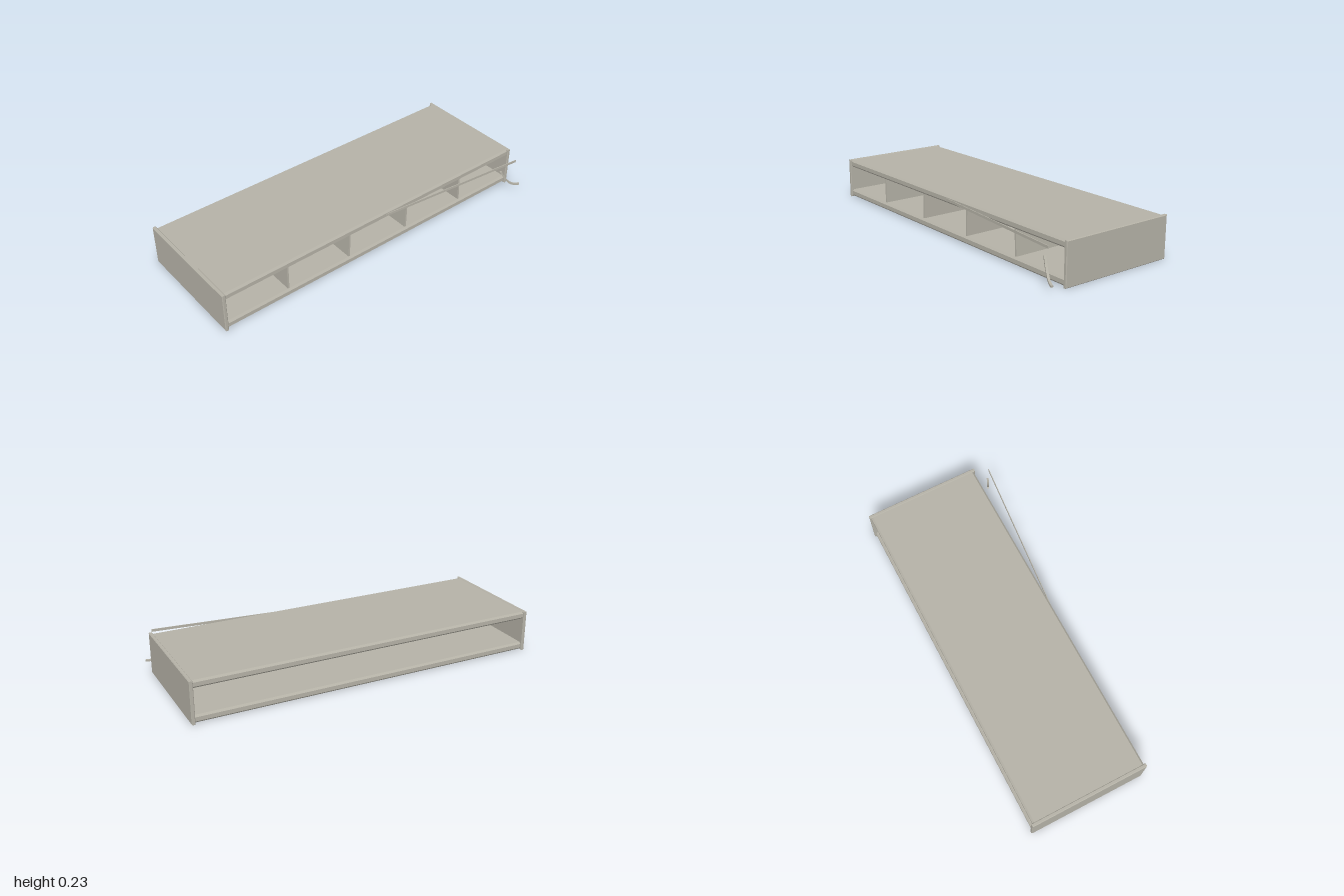
import * as THREE from 'three';

// Bar with chamfered long edges: profile in (a, b), extruded along the third axis
function chamferedBar(w, h, length, c) {
  const x = w / 2, y = h / 2;
  const shape = new THREE.Shape([
    [-x + c, -y], [x - c, -y], [x, -y + c], [x, y - c],
    [x - c, y], [-x + c, y], [-x, y - c], [-x, -y + c],
  ].map(([a, b]) => new THREE.Vector2(a, b)));
  const geo = new THREE.ExtrudeGeometry(shape, { depth: length, bevelEnabled: false });
  return geo.translate(0, 0, -length / 2);
}

// Panel with all rim edges chamfered, facing along x
function sidePanel(thick, h, d, c) {
  const x = d / 2 - c, y = h / 2 - c;
  const shape = new THREE.Shape([[-x, -y], [x, -y], [x, y], [-x, y]].map(([a, b]) => new THREE.Vector2(a, b)));
  const geo = new THREE.ExtrudeGeometry(shape, {
    depth: thick - 2 * c, bevelEnabled: true, bevelThickness: c, bevelSize: c, bevelSegments: 1,
  });
  return geo.translate(0, 0, -(thick - 2 * c) / 2).rotateY(Math.PI / 2);
}

export function createModel() {
  const model = new THREE.Group();
  model.name = 'shelfUnit';
  const greyWood = new THREE.MeshStandardMaterial({ color: 0xb4b1a6 });
  greyWood.name = 'greyWood';

  const add = (name, geo, x, y, z) => {
    const mesh = new THREE.Mesh(geo, greyWood);
    mesh.name = name;
    mesh.position.set(x, y, z);
    model.add(mesh);
    return mesh;
  };

  const midX = -0.006, midZ = -0.046;

  // End panels
  for (const [name, s] of [['leftSide', 1], ['rightSide', -1]]) {
    add(name, sidePanel(0.02, 0.234, 0.672, 0.004), midX + s * 0.984, 0.117, midZ);
  }

  // Top and bottom boards with chamfered front and back edges
  for (const [name, y] of [['topBoard', 0.21], ['bottomBoard', 0.024]]) {
    const geo = chamferedBar(0.655, 0.042, 1.95, 0.01).rotateY(Math.PI / 2);
    add(name, geo, midX, y, midZ);
  }

  // Central back wall, leaving an open bay behind it
  add('middleWall', new THREE.BoxGeometry(1.95, 0.15, 0.012), midX, 0.117, midZ);

  // Slightly warped compartment dividers
  [[-0.604, 0], [-0.204, -0.03], [0.195, -0.03], [0.597, 0.05]].forEach(([x, lean], i) => {
    const divider = add('divider' + (i + 1), new THREE.BoxGeometry(0.01, 0.15, 0.315), x, 0.117, 0.112);
    divider.rotation.z = lean;
  });

  // Loose edging strip swinging out from the top board
  const dx = 0.92, dz = 0.088;
  const strip = add('looseEdging', new THREE.BoxGeometry(Math.hypot(dx, dz), 0.014, 0.004), 0.49, 0.21, 0.325);
  strip.rotation.y = -Math.atan2(dz, dx);

  // Curled broken piece of edging
  const curve = new THREE.CatmullRomCurve3([
    [0, 0.142], [0.03, 0.092], [0.063, 0.055], [0.095, 0.039], [0.125, 0.036],
  ].map(([u, v]) => new THREE.Vector3(u, v, 0)));
  const outer = [], inner = [];
  for (let i = 0; i <= 12; i++) {
    const p = curve.getPoint(i / 12), t = curve.getTangent(i / 12);
    outer.push(new THREE.Vector2(p.x - t.y * 0.005, p.y + t.x * 0.005));
    inner.unshift(new THREE.Vector2(p.x + t.y * 0.005, p.y - t.x * 0.005));
  }
  const curl = new THREE.ExtrudeGeometry(new THREE.Shape([...outer, ...inner]), { depth: 0.012, bevelEnabled: false });
  add('curledEdging', curl.translate(0, 0, -0.006), 0.88, 0, 0.328).rotation.y = -0.44;

  return model;
}
